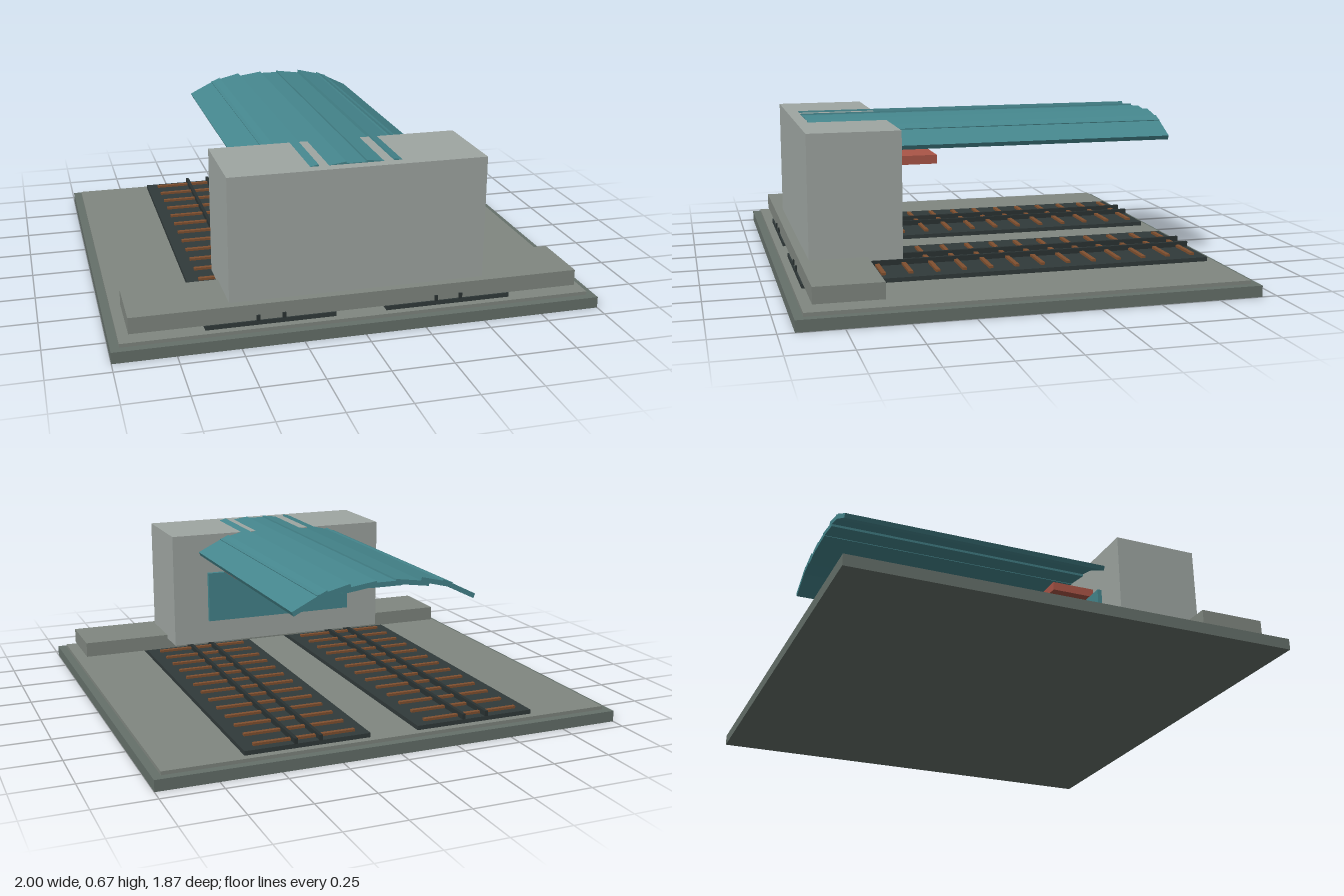
import * as THREE from 'three';

const mat = (color) => new THREE.MeshStandardMaterial({ color });
const COLORS = {
  stone: mat(0x65706a), paving: mat(0x808780), wall: mat(0x9fa6a2), bed: mat(0x313a3a),
  rail: mat(0x2a3232), wood: mat(0x80502f), teal: mat(0x45868d), red: mat(0xaa5547),
};

// Box given by its limits on each axis
function block(parent, name, material, [x0, x1], [y0, y1], [z0, z1]) {
  const mesh = new THREE.Mesh(new THREE.BoxGeometry(x1 - x0, y1 - y0, z1 - z0), material);
  mesh.position.set((x0 + x1) / 2, (y0 + y1) / 2, (z0 + z1) / 2);
  mesh.name = name;
  parent.add(mesh);
  return mesh;
}

// Long roof plank whose top face runs from (x0, y0) to (x1, y1)
function plank(parent, x0, y0, x1, y1) {
  const thick = 0.02;
  const angle = Math.atan2(y1 - y0, x1 - x0);
  const mesh = new THREE.Mesh(
    new THREE.BoxGeometry(Math.hypot(x1 - x0, y1 - y0), thick, 1.55), COLORS.teal);
  mesh.position.set(
    (x0 + x1) / 2 + Math.sin(angle) * thick / 2,
    (y0 + y1) / 2 - Math.cos(angle) * thick / 2, 0);
  mesh.rotation.z = angle;
  mesh.name = 'roofPlank';
  parent.add(mesh);
}

export function createModel() {
  const model = new THREE.Group();
  model.name = 'trainStation';

  // Stepped ground slab
  block(model, 'base', COLORS.stone, [-1, 1], [0, 0.047], [-0.935, 0.935]);
  block(model, 'paving', COLORS.paving, [-0.965, 0.965], [0.047, 0.062], [-0.9, 0.9]);

  // Two tracks: bed, sleepers and a pair of rails
  for (const side of [-1, 1]) {
    const track = new THREE.Group();
    track.name = side < 0 ? 'rightTrack' : 'leftTrack';
    const cx = side * 0.367;
    block(track, 'trackBed', COLORS.bed, [cx - 0.263, cx + 0.263], [0.062, 0.08], [-0.868, 0.868]);
    for (let i = 0; i < 15; i++) {
      const z = -0.82 + i * 0.1125;
      block(track, 'sleeper', COLORS.wood, [cx - 0.213, cx + 0.213], [0.078, 0.09], [z - 0.009, z + 0.009]);
    }
    for (const dx of [-0.052, 0.052]) {
      block(track, 'rail', COLORS.rail, [cx + dx - 0.007, cx + dx + 0.007], [0.078, 0.102], [-0.868, 0.868]);
    }
    model.add(track);
  }

  // Platform and station hall
  block(model, 'platform', COLORS.paving, [-0.925, 0.925], [0.08, 0.147], [0.585, 0.862]);
  block(model, 'stationHall', COLORS.wall, [-0.527, 0.527], [0.13, 0.66], [0.44, 0.825]);
  block(model, 'rearWindow', COLORS.teal, [-0.36, 0.36], [0.24, 0.475], [0.42, 0.46]);
  block(model, 'signBoard', COLORS.red, [-0.28, 0.28], [0.477, 0.515], [0.24, 0.46]);

  // Arched roof of overlapping planks
  const roof = new THREE.Group();
  roof.name = 'archedRoof';
  plank(roof, -0.07, 0.663, 0.07, 0.663);
  const halfProfile = [
    [0.042, 0.67, 0.19, 0.649],
    [0.155, 0.668, 0.295, 0.634],
    [0.253, 0.651, 0.4, 0.578],
  ];
  for (const [xi, yi, xo, yo] of halfProfile) {
    plank(roof, xi, yi, xo, yo);
    plank(roof, -xo, yo, -xi, yi);
  }
  model.add(roof);

  return model;
}
